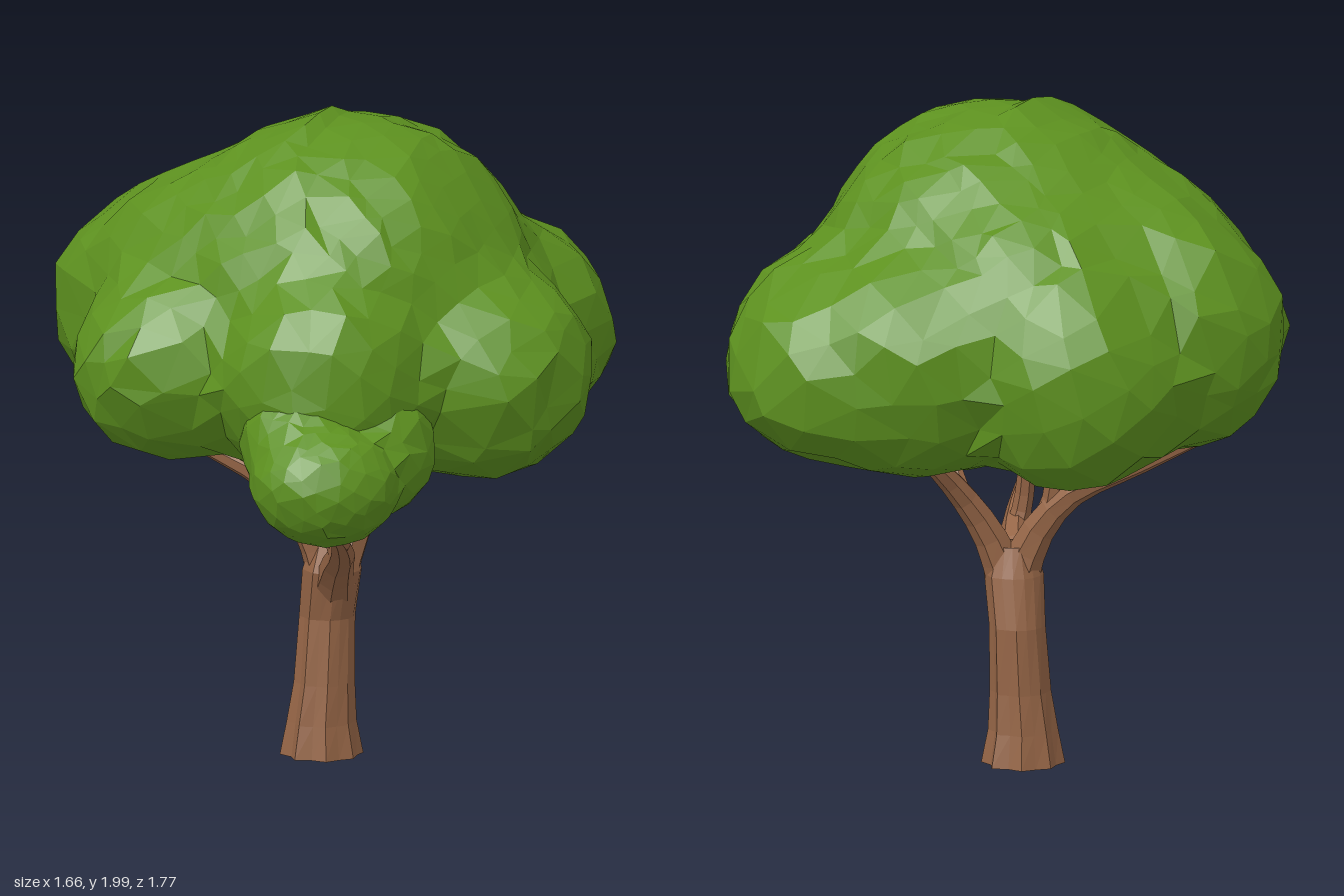
import * as THREE from 'three';

const leaf = new THREE.MeshStandardMaterial({ color: 0x5d911f });
leaf.name = 'leaf green';
const bark = new THREE.MeshStandardMaterial({ color: 0x956546, side: THREE.DoubleSide });
bark.name = 'bark brown';
const V = (x, y, z) => new THREE.Vector3(x, y, z);

// Faceted look: every triangle gets its own normal
function facetedMesh(geometry, material, name) {
  const g = geometry.index ? geometry.toNonIndexed() : geometry;
  g.computeVertexNormals();
  const mesh = new THREE.Mesh(g, material);
  mesh.name = name;
  return mesh;
}

// Distance along a ray to the far side of an ellipsoid [cx, cy, cz, rx, ry, rz], 0 if missed
function farHit(origin, dir, [cx, cy, cz, rx, ry, rz]) {
  const r = V(rx, ry, rz);
  const o = origin.clone().sub(V(cx, cy, cz)).divide(r);
  const d = dir.clone().divide(r);
  const a = d.dot(d), b = o.dot(d), c = o.dot(o) - 1;
  const disc = b * b - a * c;
  return disc < 0 ? 0 : Math.max(0, (-b + Math.sqrt(disc)) / a);
}

// One skin wrapped softly around a cluster of ellipsoid lobes
function foliage(name, centre, lobes, detail, floor, hollow) {
  const geo = new THREE.IcosahedronGeometry(1, detail);
  const pos = geo.attributes.position;
  const d = new THREE.Vector3();
  const wobble = 0.32 / (detail + 1), blend = 0.035;
  for (let i = 0; i < pos.count; i++) {
    d.fromBufferAttribute(pos, i).normalize();
    // Uneven facets: shift the directions slightly
    const n1 = Math.sin(d.x * 23 + d.y * 31 + d.z * 17), n2 = Math.sin(d.y * 29 - d.z * 37 + d.x * 11);
    const n3 = Math.sin(d.z * 27 + d.x * 33 - d.y * 13);
    d.add(V(n1, n2, n3).multiplyScalar(wobble)).normalize();
    const sum = lobes.reduce((s, l) => s + Math.exp(farHit(centre, d, l) / blend), 0);
    let dist = blend * Math.log(sum);
    // Shallow underside, raised in the middle and on the right
    if (d.y < 0) {
      const y = floor + hollow * (0.4 * Math.max(0, -d.x) + Math.max(0, -d.y - 0.6));
      dist = Math.min(dist, (y - centre.y) / d.y);
    }
    dist *= 1 + 0.011 * (n1 + n2);
    d.multiplyScalar(dist).add(centre);
    pos.setXYZ(i, d.x, d.y, d.z);
  }
  return facetedMesh(geo, leaf, name);
}

// Tapered branch along a curve
function limb(name, points, r0, r1) {
  const curve = new THREE.CatmullRomCurve3(points.map((p) => V(...p)));
  const rings = points.length * 2, sides = 7;
  const geo = new THREE.TubeGeometry(curve, rings, 1, sides, false);
  const pos = geo.attributes.position;
  const p = new THREE.Vector3();
  for (let i = 0; i < pos.count; i++) {
    const t = Math.floor(i / (sides + 1)) / rings;
    const c = curve.getPointAt(t);
    p.fromBufferAttribute(pos, i).sub(c).multiplyScalar(r0 + (r1 - r0) * Math.pow(t, 0.7)).add(c);
    pos.setXYZ(i, p.x, p.y, p.z);
  }
  return facetedMesh(geo, bark, name);
}

// Trunk with a flared, grooved, open foot: rows of [y, centre x, centre z, radius]
function trunk() {
  const rows = [
    [0, -0.05, -0.195, 0.115], [0.1, -0.05, -0.195, 0.098], [0.22, -0.042, -0.195, 0.087],
    [0.42, -0.033, -0.2, 0.081], [0.57, -0.022, -0.165, 0.087], [0.66, -0.02, -0.165, 0.06],
  ];
  const geo = new THREE.CylinderGeometry(1, 1, 1, 16, rows.length - 1, true);
  const pos = geo.attributes.position;
  for (let i = 0; i < pos.count; i++) {
    const x = pos.getX(i), z = pos.getZ(i);
    const row = Math.round((pos.getY(i) + 0.5) * (rows.length - 1));
    const [y, cx, cz, r] = rows[row];
    const k = Math.round((Math.atan2(z, x) / (2 * Math.PI)) * 16 + 16) % 16;
    const groove = 1 + (k % 2 ? -1 : 1) * 0.08 * (1 - row / 5) + 0.03 * Math.sin(k * 2.4);
    pos.setXYZ(i, cx + x * r * groove, y, cz + z * r * groove);
  }
  return facetedMesh(geo, bark, 'trunk');
}

export function createModel() {
  const tree = new THREE.Group();
  tree.name = 'tree';

  const wood = new THREE.Group();
  wood.name = 'trunkAndBranches';
  wood.add(
    trunk(),
    limb('frontBranch', [[-0.02, 0.5, -0.17], [-0.02, 0.6, -0.05], [-0.02, 0.665, 0.08], [-0.05, 0.76, 0.32], [-0.12, 0.88, 0.68]], 0.066, 0.01),
    limb('frontTwig', [[-0.04, 0.74, 0.28], [-0.05, 0.81, 0.33], [-0.07, 0.98, 0.41]], 0.026, 0.014),
    limb('frontUpright', [[-0.02, 0.65, 0.07], [-0.04, 0.72, 0.08], [-0.05, 0.86, 0.065], [0, 1.08, 0.05]], 0.034, 0.022),
    limb('backUpright', [[-0.07, 0.66, -0.18], [-0.13, 0.77, -0.185], [-0.15, 0.88, -0.2], [-0.14, 1.08, -0.21]], 0.045, 0.025),
    limb('leftUpright', [[-0.01, 0.54, -0.165], [0.05, 0.69, -0.18], [0.13, 0.82, -0.22], [0.28, 1.02, -0.36]], 0.068, 0.024),
    limb('leftTwig', [[0.11, 0.78, -0.21], [0.15, 0.87, -0.15], [0.17, 1.06, 0]], 0.03, 0.016),
    limb('rightBranch', [[-0.03, 0.56, -0.17], [-0.09, 0.7, -0.18], [-0.19, 0.82, -0.21], [-0.4, 0.93, -0.29], [-0.62, 1.04, -0.34]], 0.07, 0.012),
    limb('rightTwig', [[-0.48, 0.97, -0.31], [-0.53, 1.03, -0.28], [-0.55, 1.12, -0.26]], 0.02, 0.012),
  );
  tree.add(wood);

  const crown = new THREE.Group();
  crown.name = 'crown';
  crown.add(
    foliage('mainCrown', V(0, 1.33, -0.05), [
      [-0.01, 1.4, -0.04, 0.56, 0.58, 0.56], // dome
      [-0.34, 1.43, -0.18, 0.41, 0.38, 0.42], // right shoulder
      [0.13, 1.43, -0.12, 0.45, 0.46, 0.45], // left shoulder
      [-0.08, 1.4, -0.4, 0.4, 0.38, 0.36], // back shoulder
      [0.46, 1.27, -0.27, 0.37, 0.34, 0.36], // left side
      [0.55, 1.25, -0.5, 0.26, 0.25, 0.25], // back left corner
      [0.26, 1.28, -0.48, 0.4, 0.34, 0.33], // back left
      [-0.5, 1.34, -0.36, 0.335, 0.34, 0.3], // back right
      [-0.51, 1.27, 0.13, 0.32, 0.28, 0.28], // front right
      [-0.23, 1.25, -0.55, 0.31, 0.37, 0.335], // back
      [0.38, 1.25, 0.21, 0.34, 0.33, 0.36], // front left
      [-0.1, 1.27, 0.39, 0.33, 0.35, 0.32], // front
    ], 7, 0.94, 0.14),
    foliage('frontTuft', V(-0.12, 1.05, 0.64), [
      [-0.13, 1.02, 0.69, 0.22, 0.18, 0.195],
      [0.05, 1.09, 0.5, 0.17, 0.2, 0.2],
      [-0.2, 1.13, 0.52, 0.17, 0.18, 0.2],
    ], 4, 0.84, 0),
  );
  tree.add(crown);
  return tree;
}
